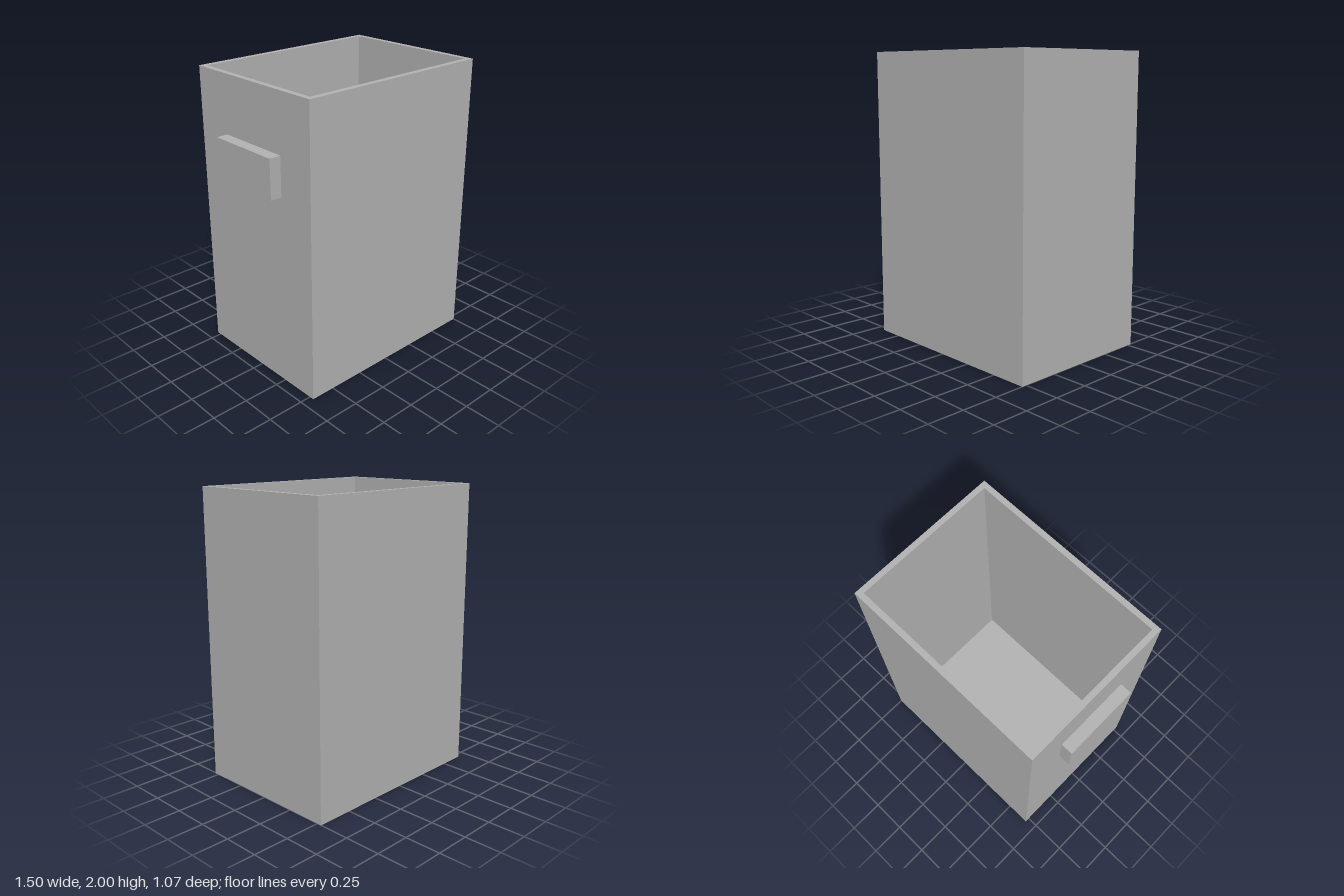
import * as THREE from 'three';

// Rectangular outline centred on (cx, 0)
function rectangle(Type, cx, width, depth) {
  const x = width / 2, y = depth / 2;
  return new Type([[-x, -y], [x, -y], [x, y], [-x, y]].map(([px, py]) => new THREE.Vector2(cx + px, py)));
}

export function createModel() {
  const grey = new THREE.MeshStandardMaterial({ color: 0xb2b2b2 });
  grey.name = 'plain grey';

  const group = new THREE.Group();
  group.name = 'openBin';

  const height = 2, width = 1.424, depth = 1.066, wall = 0.038, centreX = 0.04;
  const innerWidth = width - 2 * wall, innerDepth = depth - 2 * wall;

  const add = (name, geometry, x, y, z) => {
    const mesh = new THREE.Mesh(geometry, grey);
    mesh.name = name;
    mesh.position.set(x, y, z);
    group.add(mesh);
  };

  // Four walls as one hollow upright tube
  const outline = rectangle(THREE.Shape, centreX, width, depth);
  outline.holes.push(rectangle(THREE.Path, centreX, innerWidth, innerDepth));
  const walls = new THREE.ExtrudeGeometry(outline, { depth: height, bevelEnabled: false });
  walls.rotateX(-Math.PI / 2);
  add('walls', walls, 0, 0, 0);

  // Floor set between the walls
  add('floor', new THREE.BoxGeometry(innerWidth, wall, innerDepth), centreX, wall / 2, 0);

  // Solid block handle on one side
  add('handle', new THREE.BoxGeometry(0.08, 0.266, 0.53), -0.712, 1.471, 0);

  return group;
}
